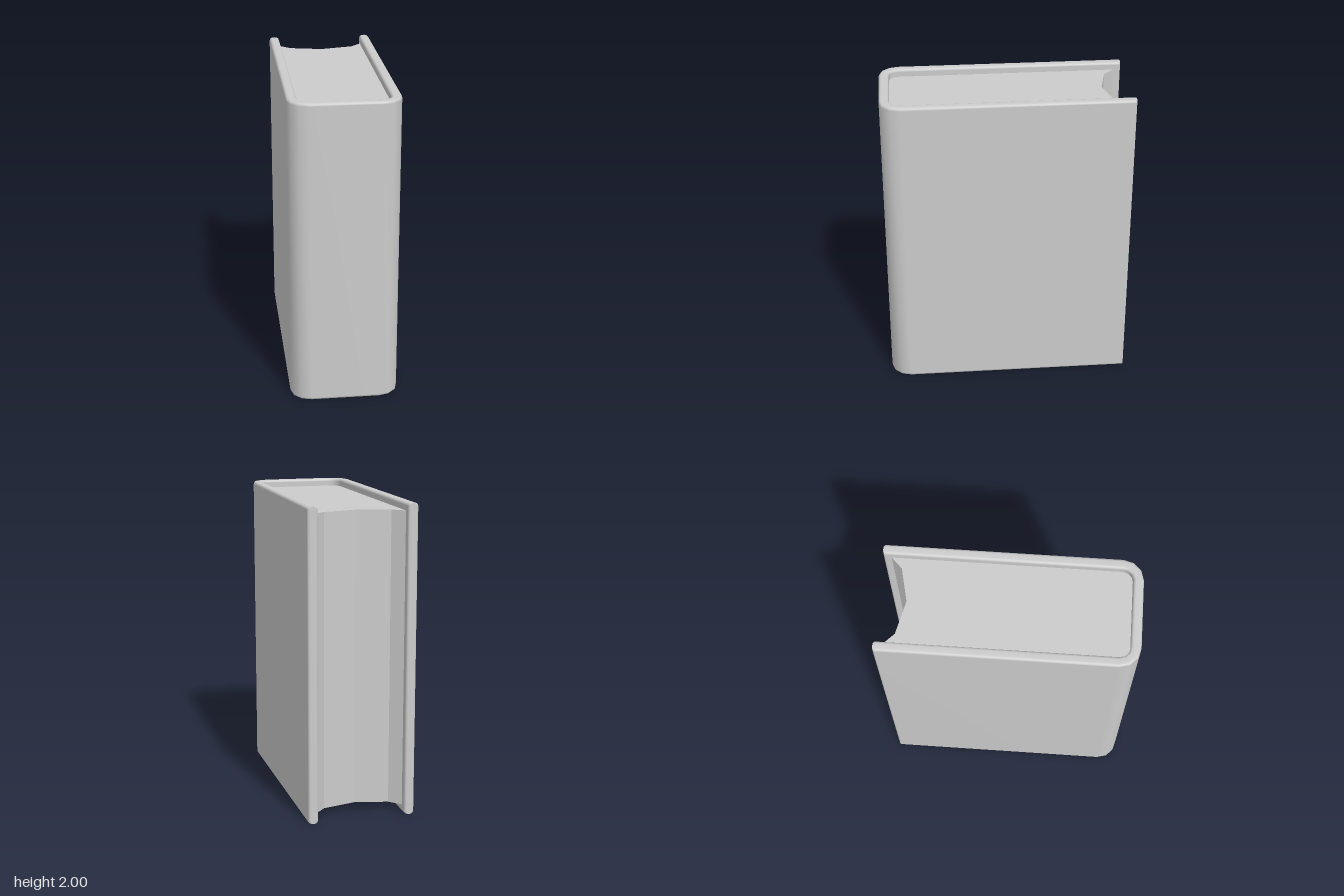
import * as THREE from 'three';

const grey = new THREE.MeshStandardMaterial({ color: 0xcccccc });

const HALF = 0.0325;   // half the cover thickness
const MID = 0.3175;    // x of the board's middle line
const BACK = -0.8, CORNER_X = 0.22, CORNER_Z = 0.67;

// Rounded rectangle section as [across, height] pairs, counterclockwise
function coverSection(r = 0.018, steps = 3) {
  const pts = [];
  const corners = [[1, 2], [-1, 2], [-1, 0], [1, 0]];
  corners.forEach(([sx, y], q) => {
    const cx = sx * (HALF - r), cy = y === 2 ? 2 - r : r;
    for (let k = 0; k <= steps; k++) {
      const a = (q + k / steps) * Math.PI / 2;
      pts.push([cx + r * Math.cos(a), cy + r * Math.sin(a)]);
    }
  });
  return pts;
}

// Stations along the U: position, outward direction and thickness factor
function coverStations() {
  const half = [], r = 0.015;
  for (let k = 0; k <= 3; k++) {
    const a = k * Math.PI / 6;
    half.push({ x: MID, z: BACK + r - r * Math.cos(a), nx: 1, nz: 0, s: (HALF - r + r * Math.sin(a)) / HALF });
  }
  for (let k = 0; k <= 3; k++) {
    const a = k * Math.PI / 6, nx = Math.cos(a), nz = Math.sin(a);
    const R = MID - CORNER_X;
    half.push({ x: CORNER_X + R * nx, z: CORNER_Z + R * nz, nx, nz, s: 1 });
  }
  const mirrored = half.map(p => ({ ...p, x: -p.x, nx: -p.nx })).reverse();
  return [...half, ...mirrored];
}

function coverGeometry() {
  const section = coverSection(), stations = coverStations();
  const n = section.length, pos = [], index = [];
  const addRing = st => section.forEach(([u, y]) =>
    pos.push(st.x + st.nx * u * st.s, y, st.z + st.nz * u * st.s));
  stations.forEach(addRing);
  for (let j = 0; j < stations.length - 1; j++) {
    for (let i = 0; i < n; i++) {
      const a = j * n + i, b = j * n + (i + 1) % n;
      index.push(a, b, b + n, a, b + n, a + n);
    }
  }
  // End caps with their own vertices, so their edges stay sharp
  [stations[0], stations[stations.length - 1]].forEach((st, end) => {
    const base = pos.length / 3;
    addRing(st);
    for (let i = 1; i < n - 1; i++) {
      if (end) index.push(base, base + i, base + i + 1);
      else index.push(base, base + i + 1, base + i);
    }
  });
  const geo = new THREE.BufferGeometry();
  geo.setAttribute('position', new THREE.Float32BufferAttribute(pos, 3));
  geo.setIndex(index);
  geo.computeVertexNormals();
  return geo;
}

// Page block: hollowed fore edge at the back, rounded corners at the spine
function pagesGeometry() {
  const inset = 0.05, w = 0.286, r = w - CORNER_X;
  const right = [[0, -0.63], [0.215, -0.68], [w, -0.75]];
  for (let k = 0; k <= 3; k++) {
    const a = k * Math.PI / 6;
    right.push([CORNER_X + r * Math.cos(a), CORNER_Z + r * Math.sin(a)]);
  }
  const left = right.slice(1).reverse().map(([x, z]) => [-x, z]);
  const shape = new THREE.Shape([...right, ...left].map(([x, z]) => new THREE.Vector2(x, -z)));
  const geo = new THREE.ExtrudeGeometry(shape, { depth: 2 - 2 * inset, bevelEnabled: false });
  geo.rotateX(-Math.PI / 2);
  geo.translate(0, inset, 0);
  return geo;
}

export function createModel() {
  const book = new THREE.Group();
  book.name = 'book';
  const cover = new THREE.Mesh(coverGeometry(), grey);
  cover.name = 'cover';
  const pages = new THREE.Mesh(pagesGeometry(), grey);
  pages.name = 'pages';
  book.add(cover, pages);
  return book;
}
